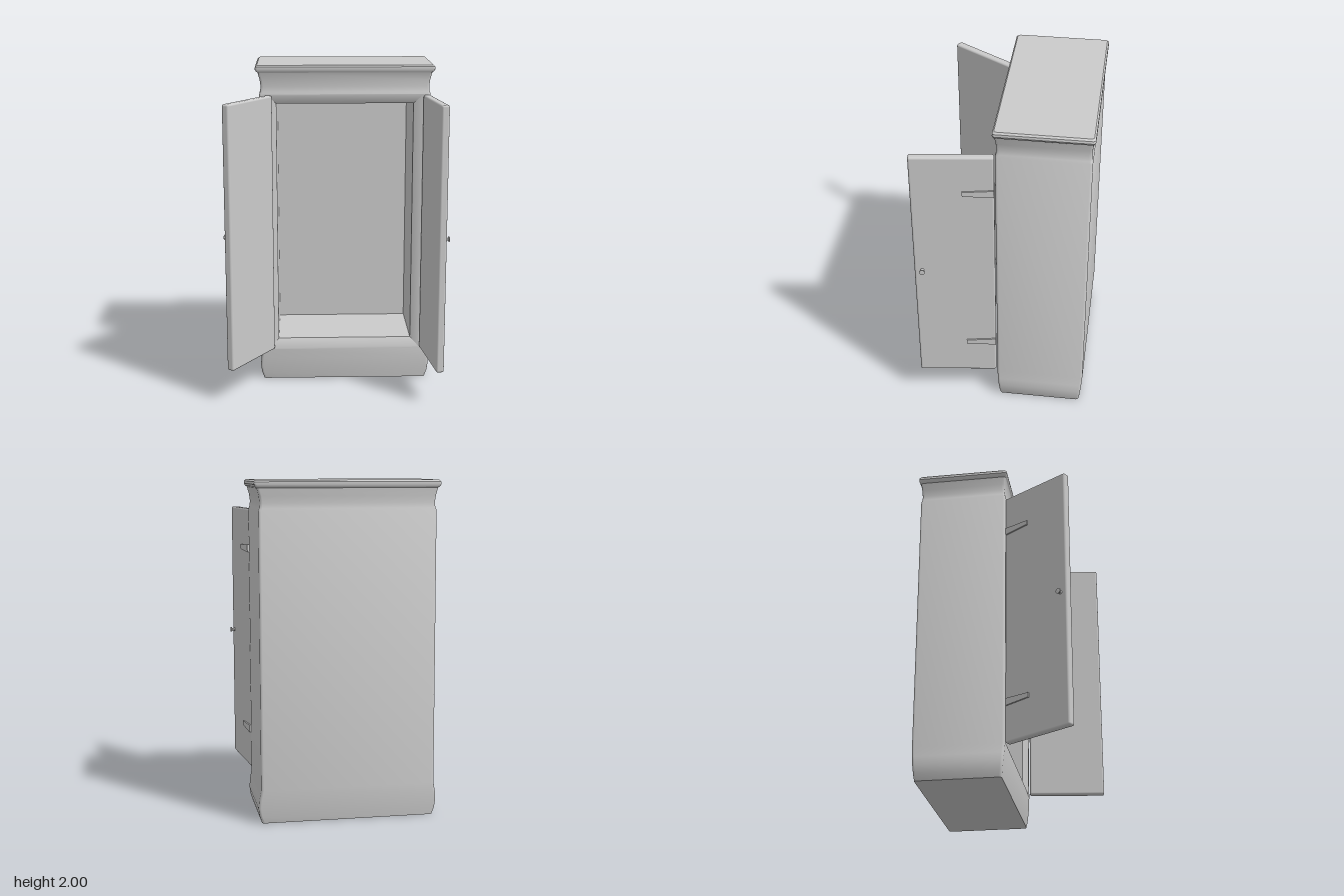
import * as THREE from 'three';
import { toCreasedNormals } from 'three/addons/utils/BufferGeometryUtils.js';
import { RoundedBoxGeometry } from 'three/addons/geometries/RoundedBoxGeometry.js';

const grey = new THREE.MeshStandardMaterial({ color: 0xcccccc });
const CX = 0.063; // middle of the cabinet in x
const R = 0.015;  // corner radius of the cabinet

function mesh(name, geometry) {
  const m = new THREE.Mesh(geometry, grey);
  m.name = name;
  return m;
}

// Skins closed loops of equal length; skip(i, j) leaves a face open.
function loft(loops, { capStart = false, capEnd = false, skip = () => false } = {}) {
  const n = loops[0].length, index = [];
  for (let i = 0; i < loops.length - 1; i++) {
    for (let j = 0; j < n; j++) {
      if (skip(i, j)) continue;
      const k = (j + 1) % n, a = i * n, b = a + n;
      index.push(a + j, a + k, b + j, a + k, b + k, b + j);
    }
  }
  const last = (loops.length - 1) * n;
  for (let j = 1; j < n - 1; j++) {
    if (capStart) index.push(0, j + 1, j);
    if (capEnd) index.push(last, last + j, last + j + 1);
  }
  const g = new THREE.BufferGeometry();
  g.setAttribute('position', new THREE.Float32BufferAttribute(loops.flat(2), 3));
  g.setIndex(index);
  return toCreasedNormals(g, 0.6);
}

// Level rounded rectangle; its closing segment is the front edge.
function ring([y, half, front, back]) {
  const pts = [];
  [[1, 1], [1, -1], [-1, -1], [-1, 1]].forEach(([sx, sz], c) => {
    const x = CX + sx * (half - R), z = sz > 0 ? front - R : back + R;
    for (let s = 0; s <= 3; s++) {
      const a = (c + s / 3) * Math.PI / 2;
      pts.push([x + R * Math.sin(a), y, z + R * Math.cos(a)]);
    }
  });
  return pts;
}

// Upright rectangle seen from the front.
function rect(half, y0, y1, z) {
  return [[CX - half, y0, z], [CX + half, y0, z], [CX + half, y1, z], [CX - half, y1, z]];
}

// Door running along local +z from its hinge; side is the outer face's x sign.
function makeDoor(name, side, x, z, dx, dz) {
  const door = new THREE.Group();
  const length = Math.hypot(dx, dz), thick = 0.047;
  door.name = name;
  door.position.set(x, 0, z);
  door.rotation.y = Math.atan2(dx, dz);

  const panel = mesh(name + 'Panel', new RoundedBoxGeometry(thick, 1.61, length, 3, 0.012));
  panel.position.set(0, 1.015, length / 2);
  door.add(panel);

  // Tapered hinge straps
  const shape = new THREE.Shape([[0, -0.023], [0.18, -0.014], [0.18, 0.014], [0, 0.023]]
    .map(([u, v]) => new THREE.Vector2(u, v)));
  for (const y of [0.455, 1.58]) {
    const strap = mesh('hingeStrap', new THREE.ExtrudeGeometry(shape, { depth: 0.012, bevelEnabled: false }));
    strap.rotation.y = -Math.PI / 2;
    strap.position.set(side * (thick / 2 + 0.003) + 0.006, y, 0);
    door.add(strap);
  }

  // Turned knob
  const profile = [[0.012, 0], [0.007, 0.008], [0.008, 0.016], [0.016, 0.021], [0.016, 0.026], [0, 0.028]]
    .map(([r, h]) => new THREE.Vector2(r, h));
  const knob = mesh('knob', toCreasedNormals(new THREE.LatheGeometry(profile, 16), 0.6));
  knob.rotation.z = -side * Math.PI / 2;
  knob.position.set(side * (thick / 2 - 0.001), 1.025, length - 0.045);
  door.add(knob);
  return door;
}

export function createModel() {
  const model = new THREE.Group();
  model.name = 'wardrobe';

  // Outer case: height, half width, front z, back z
  const sections = [
    [0, 0.514, 0.013, -0.484],
    [0.04, 0.528, 0.018, -0.489],
    [0.09, 0.535, 0.023, -0.494],
    [0.14, 0.531, 0.028, -0.499],
    [0.2, 0.52, 0.031, -0.503],
    [1.825, 0.52, 0.031, -0.503],
    [1.84, 0.514, 0.026, -0.498],
    [1.87, 0.511, 0.024, -0.496],
    [1.91, 0.516, 0.027, -0.499],
    [1.955, 0.528, 0.033, -0.504],
    [1.962, 0.538, 0.039, -0.511],
    [1.975, 0.545, 0.043, -0.515],
    [1.99, 0.543, 0.042, -0.514],
    [2.0, 0.533, 0.033, -0.505],
  ];
  const loops = sections.map(ring);
  const frontEdge = loops[0].length - 1;
  model.add(mesh('case', loft(loops, {
    capStart: true, capEnd: true, skip: (i, j) => i === 4 && j === frontEdge,
  })));

  // Front frame, its sloping reveal and the hollow interior
  model.add(mesh('frameAndInterior', loft([
    rect(0.52 - R, 0.2, 1.825, 0.031),
    rect(0.472, 0.21, 1.818, 0.031),
    rect(0.418, 0.265, 1.765, 0.0),
    rect(0.418, 0.265, 1.765, -0.47),
  ], { capEnd: true })));

  // Open doors
  model.add(makeDoor('rightDoor', -1, -0.397, 0.036, -0.245, 0.395));
  model.add(makeDoor('leftDoor', 1, 0.559, 0.038, 0.058, 0.468));
  return model;
}
